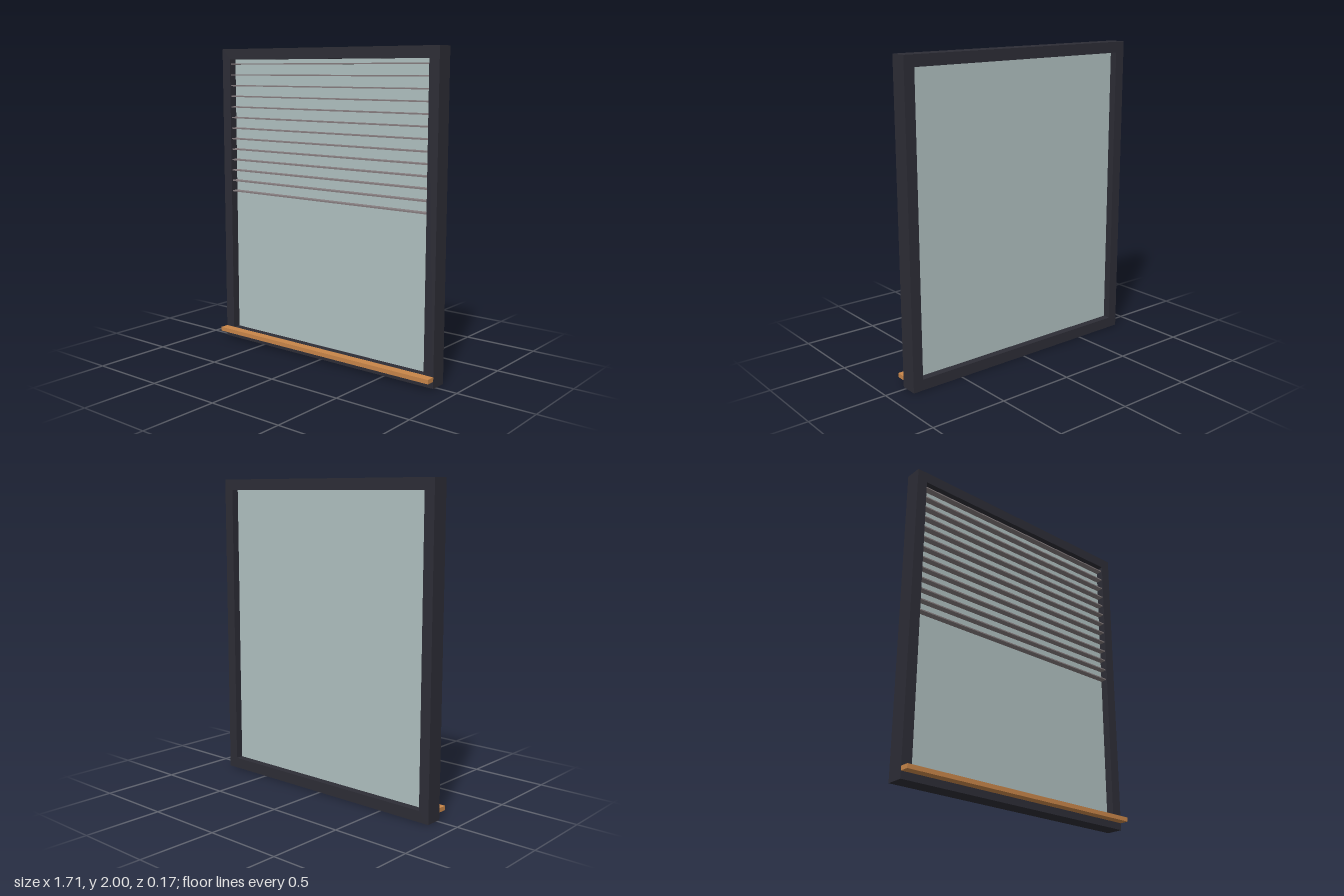
import * as THREE from 'three';

export function createModel() {
  const group = new THREE.Group();
  group.name = 'window';

  const mat = (name, color) => {
    const m = new THREE.MeshStandardMaterial({ color });
    m.name = name;
    return m;
  };
  const frameMat = mat('darkFrame', 0x2d2d36);
  const glassMat = mat('glass', 0xb0c0c0);
  const slatMat = mat('slatGrey', 0x857c7e);
  const woodMat = mat('wood', 0xc98649);

  const W = 0.855, H = 2, back = -0.085, front = 0.027; // outer frame
  const inW = 0.787, low = 0.07, high = 1.93;           // opening

  // Frame: one extruded rectangle with a rectangular hole
  const rect = (Type, x, y0, y1) => new Type([
    new THREE.Vector2(-x, y0), new THREE.Vector2(x, y0),
    new THREE.Vector2(x, y1), new THREE.Vector2(-x, y1),
  ]);
  const outline = rect(THREE.Shape, W, 0, H);
  outline.holes.push(rect(THREE.Path, inW, low, high));
  const frame = new THREE.Mesh(
    new THREE.ExtrudeGeometry(outline, { depth: front - back, bevelEnabled: false }), frameMat);
  frame.position.z = back;
  frame.name = 'frame';
  group.add(frame);

  const box = (name, w, h, d, y, z, material) => {
    const mesh = new THREE.Mesh(new THREE.BoxGeometry(w, h, d), material);
    mesh.position.set(0, y, z);
    mesh.name = name;
    group.add(mesh);
    return mesh;
  };

  // Pane set midway in the frame
  box('glassPane', inW * 2, high - low, 0.01, (low + high) / 2, -0.031, glassMat);

  // Blind slats over the upper half
  for (let i = 0; i < 13; i++) {
    box('blindSlat', inW * 2, 0.008, 0.044, 1.04 + i * 0.0717, -0.004, slatMat);
  }

  // Wooden sill along the front
  box('sill', W * 2, 0.027, 0.058, 0.0585, front + 0.029, woodMat);

  return group;
}
